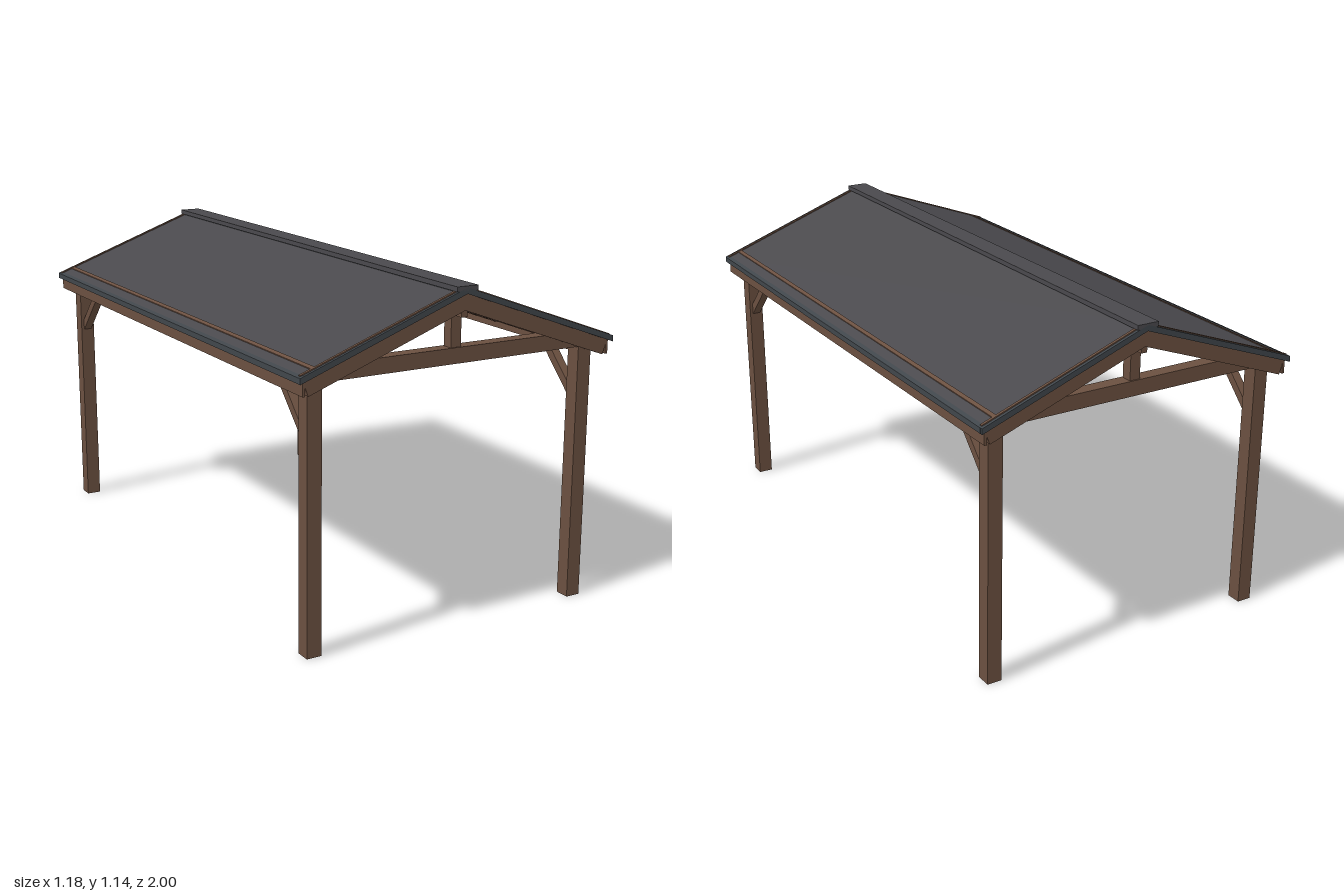
import * as THREE from 'three';

const timber = new THREE.MeshStandardMaterial({ color: 0x6b5040 });
timber.name = 'timber brown';
const roofing = new THREE.MeshStandardMaterial({ color: 0x4a494d });
roofing.name = 'roof grey';
const flashing = new THREE.MeshStandardMaterial({ color: 0x40464b });
flashing.name = 'flashing grey';

const SLOPE = 0.364; // 20 degree pitch
const roofY = (x, apex) => apex - SLOPE * x;

export function createModel() {
  const model = new THREE.Group();

  const add = (name, geometry, material) => {
    const mesh = new THREE.Mesh(geometry, material);
    mesh.name = name;
    model.add(mesh);
    return mesh;
  };

  // Box given by its ranges on each axis
  const box = (name, material, [x0, x1], [y0, y1], [z0, z1]) => {
    const mesh = add(name, new THREE.BoxGeometry(x1 - x0, y1 - y0, z1 - z0), material);
    mesh.position.set((x0 + x1) / 2, (y0 + y1) / 2, (z0 + z1) / 2);
    return mesh;
  };

  // Outline in x,y (mirrored by side), extruded along z
  const prism = (name, material, side, points, z, depth) => {
    const shape = new THREE.Shape(points.map(([x, y]) => new THREE.Vector2(x * side, y)));
    const geometry = new THREE.ExtrudeGeometry(shape, { depth, bevelEnabled: false });
    geometry.translate(0, 0, z - depth / 2);
    return add(name, geometry, material);
  };

  // Sloping strip between two x values and two heights measured at the apex
  const slopeBand = (x0, x1, low, high) => [
    [x0, roofY(x0, low)], [x1, roofY(x1, low)], [x1, roofY(x1, high)], [x0, roofY(x0, high)],
  ];

  const rafter = [[0, 1.057], [0.555, 0.855], [0.573, 0.904], [0, 1.113]];

  for (const side of [-1, 1]) {
    const span = (a, b) => (side > 0 ? [a, b] : [-b, -a]);

    // Long beam over the posts and outer fascia board
    box('plateBeam', timber, span(0.486, 0.538), [0.861, 0.912], [-0.95, 0.95]);
    box('fascia', timber, span(0.566, 0.575), [0.856, 0.902], [-0.99, 0.99]);

    for (const end of [-1, 1]) {
      const zSpan = (a, b) => (end > 0 ? [a, b] : [-b, -a]);
      box('post', timber, span(0.486, 0.538), [0, 0.861], zSpan(0.898, 0.95));

      // Diagonal brace from post to beam
      const shape = new THREE.Shape([
        new THREE.Vector2(0.9, 0.695), new THREE.Vector2(0.9, 0.735),
        new THREE.Vector2(0.775, 0.863), new THREE.Vector2(0.735, 0.863),
      ]);
      const brace = new THREE.ExtrudeGeometry(shape, { depth: 0.03, bevelEnabled: false });
      brace.translate(0, 0, -0.015);
      const mesh = add('brace', brace, timber);
      mesh.rotation.y = end > 0 ? -Math.PI / 2 : Math.PI / 2;
      mesh.position.x = side * 0.512;
    }

    // Common rafters, with heavier ones at the gables
    for (let i = 0; i < 9; i++) {
      const gable = i === 0 || i === 8;
      prism('rafter', timber, side, rafter, -0.97 + i * 0.2425, gable ? 0.038 : 0.027);
    }

    // Roof panel with flashed gable and eave edges
    prism('roofPanel', roofing, side, [
      [0, 1.112], [0.588, 0.9], [0.584, roofY(0.584, 1.13)], [0, 1.13],
    ], 0, 1.99);
    for (const end of [-1, 1]) {
      prism('gableFlashing', flashing, side, slopeBand(0, 0.588, 1.111, 1.131), end * 0.995, 0.01);
      prism('gableStrip', timber, side, slopeBand(0.03, 0.582, 1.129, 1.134), end * 0.983, 0.01);
    }
    prism('eaveStrip', timber, side, slopeBand(0.528, 0.541, 1.129, 1.133), 0, 1.956);
    prism('eaveFlashing', flashing, side, slopeBand(0.575, 0.589, 1.112, 1.131), 0, 1.98);
  }

  // End trusses: tie beam and king post
  for (const end of [-1, 1]) {
    const z = end * 0.924;
    box('tieBeam', timber, [-0.5, 0.5], [0.88, 0.932], [z - 0.024, z + 0.024]);
    box('kingPost', timber, [-0.019, 0.019], [0.932, 1.075], [z - 0.019, z + 0.019]);
  }

  // Ridge beam below and two-step cap above
  box('ridgeBeam', timber, [-0.011, 0.011], [1.035, 1.11], [-0.985, 0.985]);
  box('ridgeCapBase', flashing, [-0.034, 0.034], [1.115, 1.125], [-0.998, 0.998]);
  box('ridgeCap', roofing, [-0.039, 0.039], [1.12, 1.136], [-1, 1]);

  return model;
}
